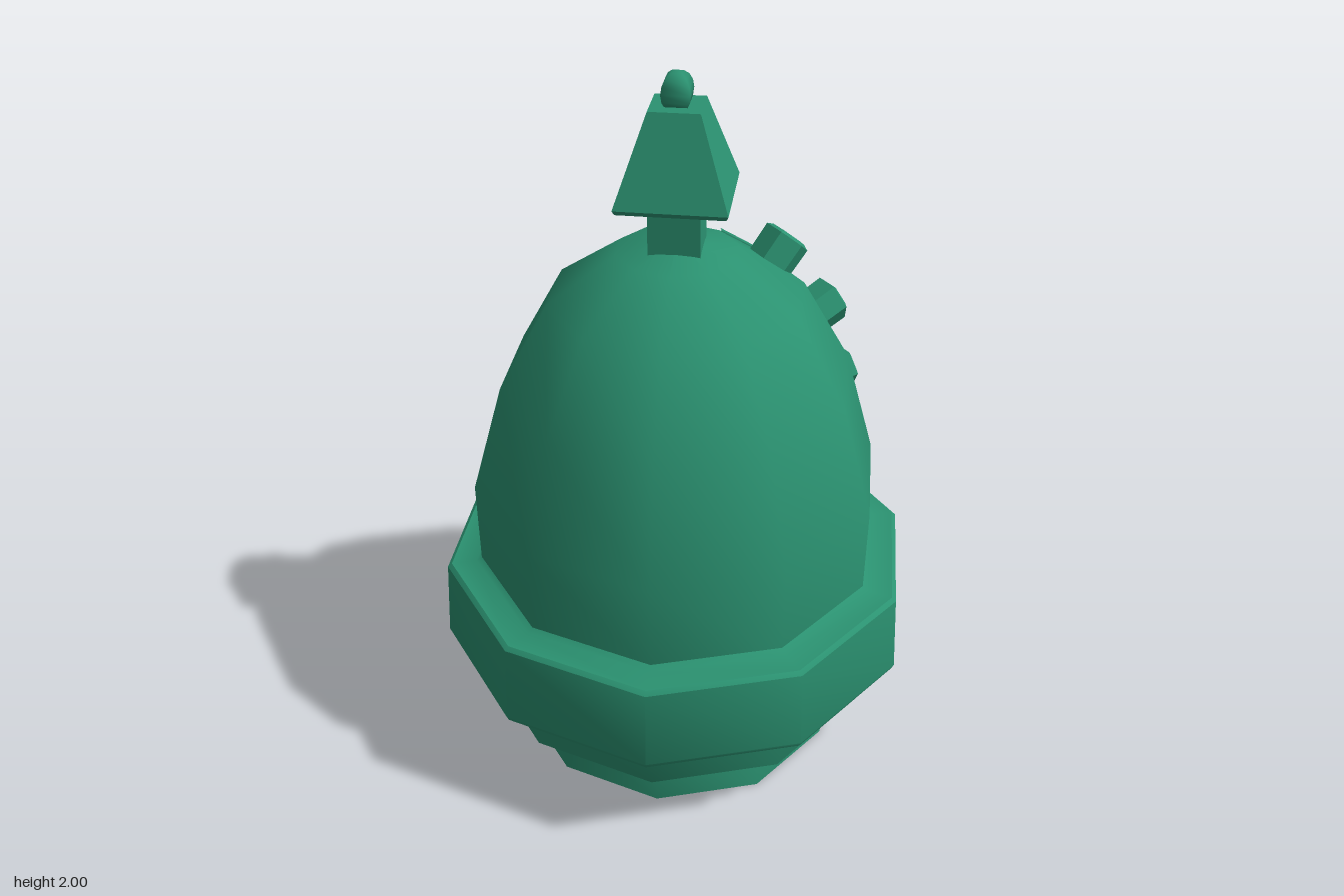
import * as THREE from 'three';
import { toCreasedNormals } from 'three/addons/utils/BufferGeometryUtils.js';

const SIDES = 10;
const green = new THREE.MeshStandardMaterial({ color: 0x2b9271 });

const profile = (points) => points.map(([r, y]) => new THREE.Vector2(r, y));

function addMesh(parent, name, geometry) {
  const mesh = new THREE.Mesh(geometry, green);
  mesh.name = name;
  parent.add(mesh);
  return mesh;
}

// Ten-sided turned body with a corner on the x axis
const turned = (points) => new THREE.LatheGeometry(profile(points), SIDES, Math.PI / 2);

// Four-sided prism or frustum with a corner on the z axis
const square = (top, bottom, height) =>
  toCreasedNormals(new THREE.CylinderGeometry(top, bottom, height, 4), 0.5);

export function createModel() {
  const model = new THREE.Group();
  model.name = 'domedPot';

  // Foot, stepped band and wide collar
  const base = [
    [0, 0], [0.48, 0], [0.467, 0.13], [0.58, 0.17], [0.612, 0.325],
    [0.68, 0.33], [0.687, 0.345], [0.674, 0.575], [0.662, 0.585],
    [0.59, 0.585], [0.57, 0.6],
  ];
  addMesh(model, 'base', toCreasedNormals(turned(base), 0.68));

  // Smooth dome
  const domeCurve = [
    [0.575, 0.58], [0.577, 0.84], [0.487, 1.15], [0.35, 1.39], [0.165, 1.52], [0, 1.55],
  ];
  addMesh(model, 'dome', turned(domeCurve));

  // Raised seam along one rear corner of the dome
  const seamAngle = Math.PI / 5;
  const seam = new THREE.CurvePath();
  const seamPoints = domeCurve.slice(0, 5).map(([r, y]) =>
    new THREE.Vector3(r * Math.cos(seamAngle), y, -r * Math.sin(seamAngle)));
  for (let i = 1; i < seamPoints.length; i++) {
    seam.add(new THREE.LineCurve3(seamPoints[i - 1], seamPoints[i]));
  }
  addMesh(model, 'domeSeam', new THREE.TubeGeometry(seam, 32, 0.007, 6));

  // Hexagonal studs in a row beside the seam: cap centre and upward tilt in degrees
  const studGeometry = toCreasedNormals(new THREE.LatheGeometry(profile([
    [0, -0.13], [0.066, -0.13], [0.068, -0.008], [0.052, 0], [0, 0],
  ]), 6), 0.4);
  const studs = [
    [0.325, 1.495, -0.088, 49],
    [0.492, 1.25, -0.172, 23],
    [0.563, 0.987, -0.232, 10],
    [0.585, 0.712, -0.247, 1],
  ];
  const studAzimuth = THREE.MathUtils.degToRad(20);
  const studRow = new THREE.Group();
  studRow.name = 'studRow';
  for (const [x, y, z, tilt] of studs) {
    const stud = addMesh(studRow, 'stud', studGeometry);
    stud.position.set(x, y, z);
    stud.rotation.set(0, studAzimuth, THREE.MathUtils.degToRad(tilt - 90), 'YXZ');
  }
  model.add(studRow);

  // Finial: square post, flared cap and small ball, all turned together
  const finial = new THREE.Group();
  finial.name = 'finial';
  finial.rotation.y = Math.atan2(0.09, 0.18);
  addMesh(finial, 'post', square(0.097, 0.097, 0.2)).position.y = 1.59;
  addMesh(finial, 'capRim', square(0.206, 0.198, 0.012)).position.y = 1.677;
  addMesh(finial, 'cap', square(0.094, 0.206, 0.232)).position.y = 1.799;
  addMesh(finial, 'ball', new THREE.SphereGeometry(0.053, 4, 8)).position.y = 1.947;
  model.add(finial);

  return model;
}
